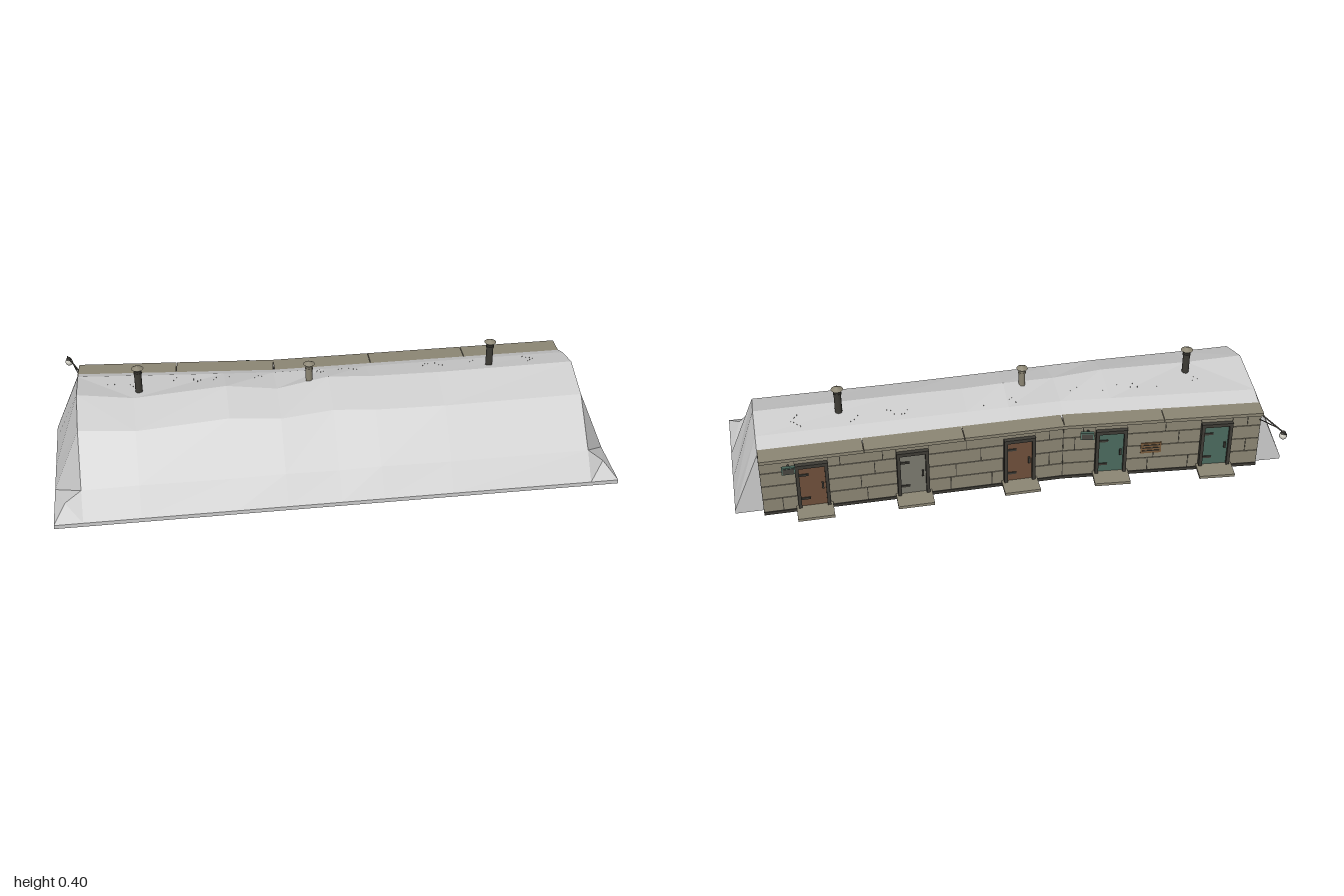
import * as THREE from 'three';

const mat = (name, color) => {
  const m = new THREE.MeshStandardMaterial({ color });
  m.name = name;
  return m;
};

export function createModel() {
  const snow = mat('pale earth', 0xcccccc);
  const concrete = mat('concrete', 0x8c8674);
  const dark = mat('dark metal', 0x3d3b35);
  const brown = mat('brown paint', 0x6e4f3a);
  const green = mat('green paint', 0x4b6a5e);
  const grey = mat('grey paint', 0x7b796f);
  const rust = mat('rust', 0x7a5c3c);
  const glass = mat('lamp glass', 0xd4d2c8);

  const root = new THREE.Group();
  root.name = 'bunker';
  const add = (parent, name, geo, material, x = 0, y = 0, z = 0) => {
    const m = new THREE.Mesh(geo, material);
    m.name = name;
    m.position.set(x, y, z);
    parent.add(m);
    return m;
  };
  // box given by its limits
  const box = (parent, name, material, x0, x1, y0, y1, z0, z1) =>
    add(parent, name, new THREE.BoxGeometry(x1 - x0, y1 - y0, z1 - z0), material,
      (x0 + x1) / 2, (y0 + y1) / 2, (z0 + z1) / 2);
  const rod = (parent, name, material, a, b, r) => {
    const p = new THREE.Vector3(...a), q = new THREE.Vector3(...b);
    const m = add(parent, name, new THREE.CylinderGeometry(r, r, p.distanceTo(q), 6), material);
    m.position.copy(p).add(q).multiplyScalar(0.5);
    m.quaternion.setFromUnitVectors(new THREE.Vector3(0, 1, 0), q.sub(p).normalize());
    return m;
  };
  const backZ = x => (x > -0.18 ? -0.16 : -0.16 - 0.065 * Math.min(1.08, (-0.18 - x) / 0.72));

  // mound: cross-sections [x, ridge y, ridge z, shoulder y, shoulder z]
  const stations = [
    [-0.9, 0.31, 0.02, 0.255, 0.165], [-0.7, 0.293, 0.04, 0.245, 0.18],
    [-0.37, 0.31, 0.03, 0.26, 0.165], [-0.19, 0.29, 0.04, 0.25, 0.177],
    [0, 0.31, 0.015, 0.26, 0.16], [0.15, 0.302, 0.02, 0.253, 0.168],
    [0.4, 0.302, 0.025, 0.25, 0.17], [0.9, 0.305, 0.022, 0.255, 0.168],
  ];
  const section = ([x, ry, rz, sy, sz], i) => {
    const b = backZ(x);
    return [[x, 0.015, 0.38], [x, 0.103 + 0.003 * (i % 2), 0.31], [x, sy, sz], [x, ry, rz],
      [x, 0.278, b + 0.07], [x, 0.25, b], [x, 0.015, b]];
  };
  const endFoot = (s, corner) => {
    const b = s > 0 ? -0.16 : -0.23;
    return [[s, 0.015, 0.38], corner ? [0.96 * s, 0.055, 0.31] : [s, 0.015, 0.31],
      [s, 0.015, 0.17], [s, 0.015, 0.02], [s, 0.015, b + 0.07], [s, 0.015, b], [s, 0.015, b]];
  };
  const rings = [endFoot(-1, false), endFoot(-1, true), ...stations.map(section),
    endFoot(1, true), endFoot(1, false)];
  const tri = [];
  for (let i = 0; i + 1 < rings.length; i++)
    for (let j = 0; j < 6; j++) {
      const a = rings[i][j], b = rings[i + 1][j], c = rings[i + 1][j + 1], d = rings[i][j + 1];
      // corner creases fold along the other diagonal
      const faces = i < 3 ? [a, b, d, b, c, d] : [a, b, c, a, c, d];
      faces.forEach(v => tri.push(...v));
    }
  const moundGeo = new THREE.BufferGeometry();
  moundGeo.setAttribute('position', new THREE.Float32BufferAttribute(tri, 3));
  moundGeo.computeVertexNormals();
  add(root, 'mound', moundGeo, snow);

  // base slab under the mound
  const outline = new THREE.Shape([[-1, -0.38], [1, -0.38], [1, 0.16], [-0.18, 0.16], [-0.9, 0.225], [-1, 0.23]]
    .map(p => new THREE.Vector2(...p)));
  const baseGeo = new THREE.ExtrudeGeometry(outline, { depth: 0.015, bevelEnabled: false });
  baseGeo.rotateX(-Math.PI / 2);
  add(root, 'base', baseGeo, snow);

  // door with frame, hinges, handle and doorstep; outside is -z
  const door = (parent, u, paint) => {
    const g = new THREE.Group();
    g.name = 'doorway';
    g.position.x = u;
    parent.add(g);
    box(g, 'doorLeaf', paint, -0.045, 0.045, 0.025, 0.2, -0.004, 0.02);
    for (const s of [-1, 1])
      box(g, 'doorPost', dark, s * 0.051 - 0.006, s * 0.051 + 0.006, 0.015, 0.212, -0.016, 0.02);
    box(g, 'doorLintel', dark, -0.057, 0.057, 0.2, 0.214, -0.016, 0.02);
    for (const y of [0.06, 0.165])
      box(g, 'hinge', dark, 0.012, 0.045, y - 0.004, y + 0.004, -0.008, -0.004);
    box(g, 'handle', dark, -0.038, -0.031, 0.1, 0.125, -0.012, -0.004);
    box(g, 'doorstep', concrete, -0.065, 0.065, 0.015, 0.026, -0.075, 0.01);
  };

  // facade run from u0 to u1, with block courses broken by the doors
  const facade = (name, u0, u1, doors, seams) => {
    const g = new THREE.Group();
    g.name = name;
    root.add(g);
    box(g, 'wallCore', dark, u0, u1, 0.012, 0.245, 0.003, 0.03);
    box(g, 'plinth', dark, u0, u1, 0, 0.012, 0, 0.04);
    const step = 0.15, gap = 0.0015, h = 0.0575;
    for (let r = 0; r < 4; r++) {
      const cuts = [u0, u1];
      for (let u = u0 + (r % 2 ? 0.05 : 0.11); u < u1 - 0.03; u += step + 0.02 * (r % 3)) cuts.push(u);
      doors.forEach(([u]) => cuts.push(u - 0.057, u + 0.057));
      cuts.sort((a, b) => a - b);
      for (let k = 0; k + 1 < cuts.length; k++) {
        const a = cuts[k], b = cuts[k + 1], m = (a + b) / 2;
        if (b - a < 0.005 || doors.some(([u]) => Math.abs(m - u) < 0.057)) continue;
        box(g, 'block', concrete, a + gap, b - gap, 0.014 + r * h + gap, 0.014 + (r + 1) * h - gap, 0, 0.028);
      }
    }
    doors.forEach(([u, paint]) => {
      box(g, 'doorHead', concrete, u - 0.057, u + 0.057, 0.214, 0.245, 0, 0.028);
      door(g, u, paint);
    });
    const edges = [u0, ...seams, u1];
    for (let k = 0; k + 1 < edges.length; k++)
      box(g, 'roofSlab', concrete, edges[k] + 0.001, edges[k + 1] - 0.001, 0.244, 0.257, -0.024, 0.05);
    return g;
  };
  const straight = facade('straightFacade', -0.18, 0.9,
    [[-0.02, brown], [0.365, grey], [0.72, brown]], [0.18, 0.535]);
  straight.position.z = -0.19;
  const slanted = facade('slantedFacade', -0.7225, 0, [[-0.56, green], [-0.175, green]], [-0.36]);
  slanted.position.set(-0.18, 0, -0.19);
  slanted.rotation.y = -Math.atan2(0.06, 0.72);

  // rusty vent grille
  box(slanted, 'ventGrille', rust, -0.36, -0.285, 0.095, 0.14, -0.004, 0.01);
  for (let i = 0; i < 3; i++)
    box(slanted, 'ventSlat', dark, -0.354, -0.291, 0.105 + i * 0.012, 0.108 + i * 0.012, -0.006, -0.003);

  // floodlights
  const floodlight = (parent, u, turn) => {
    const g = new THREE.Group();
    g.name = 'floodlight';
    g.position.set(u, 0.225, -0.045);
    g.rotation.set(0.3, turn, 0);
    parent.add(g);
    box(g, 'floodlightBody', green, -0.024, 0.024, -0.012, 0.012, -0.01, 0.012);
    box(g, 'floodlightGlass', dark, -0.02, 0.02, -0.009, 0.009, -0.013, -0.01);
    box(g, 'floodlightBracket', dark, -0.004, 0.004, -0.004, 0.004, 0.012, 0.05);
  };
  floodlight(straight, 0.8, 0);
  floodlight(slanted, -0.08, -0.2);

  // corner lamp on an arm
  rod(root, 'lampArm', dark, [-0.895, 0.237, -0.25], [-0.945, 0.233, -0.38], 0.003);
  rod(root, 'lampBrace', dark, [-0.895, 0.212, -0.25], [-0.925, 0.233, -0.33], 0.002);
  add(root, 'lampCap', new THREE.CylinderGeometry(0.007, 0.011, 0.008, 10), dark, -0.94, 0.232, -0.365);
  add(root, 'lampGlobe', new THREE.SphereGeometry(0.014, 14, 10), glass, -0.94, 0.219, -0.365);

  // chimneys with conical hoods
  for (const [x, z, top, r, paint] of [[-0.68, -0.01, 0.376, 0.013, dark], [-0.07, 0.013, 0.36, 0.012, concrete],
    [0.6, -0.018, 0.38, 0.013, dark]]) {
    const g = new THREE.Group();
    g.name = 'chimney';
    g.position.set(x, 0, z);
    root.add(g);
    add(g, 'chimneyPipe', new THREE.CylinderGeometry(r, r, top - 0.26, 12), paint, 0, (top + 0.26) / 2, 0);
    add(g, 'chimneyBand', new THREE.CylinderGeometry(r + 0.002, r + 0.002, 0.006, 12), paint, 0, top - 0.01, 0);
    add(g, 'chimneyHood', new THREE.ConeGeometry(r + 0.009, 0.012, 12), concrete, 0, top + 0.014, 0);
    for (const s of [-1, 1])
      box(g, 'hoodStay', dark, s * r * 0.8 - 0.001, s * r * 0.8 + 0.001, top - 0.005, top + 0.011, -0.001, 0.001);
  }

  // sparse dry grass tufts on the roof
  const tufts = [[-0.88, -0.1], [-0.78, -0.08], [-0.7, -0.06], [-0.54, -0.08], [-0.47, -0.06], [-0.4, -0.055],
    [-0.35, -0.08], [-0.25, -0.05], [-0.02, -0.06], [0.05, -0.06], [0.1, -0.06], [0.37, -0.06],
    [0.42, -0.05], [0.55, -0.065], [0.75, -0.06], [0.76, -0.03]];
  const blade = new THREE.ConeGeometry(0.0025, 0.02, 4);
  tufts.forEach(([x, z], i) => {
    for (let k = 0; k < 3; k++) {
      const dz = 0.012 * Math.sin(i * 3 + k * 2);
      const b = add(root, 'grassBlade', blade, dark, x + 0.012 * (k - 1), 0.301 + (z + dz - 0.03) * 0.22, z + dz);
      b.rotation.set(0.3 * Math.sin(i + k), 0, 0.35 * Math.cos(i * 2 + k));
    }
  });
  return root;
}
